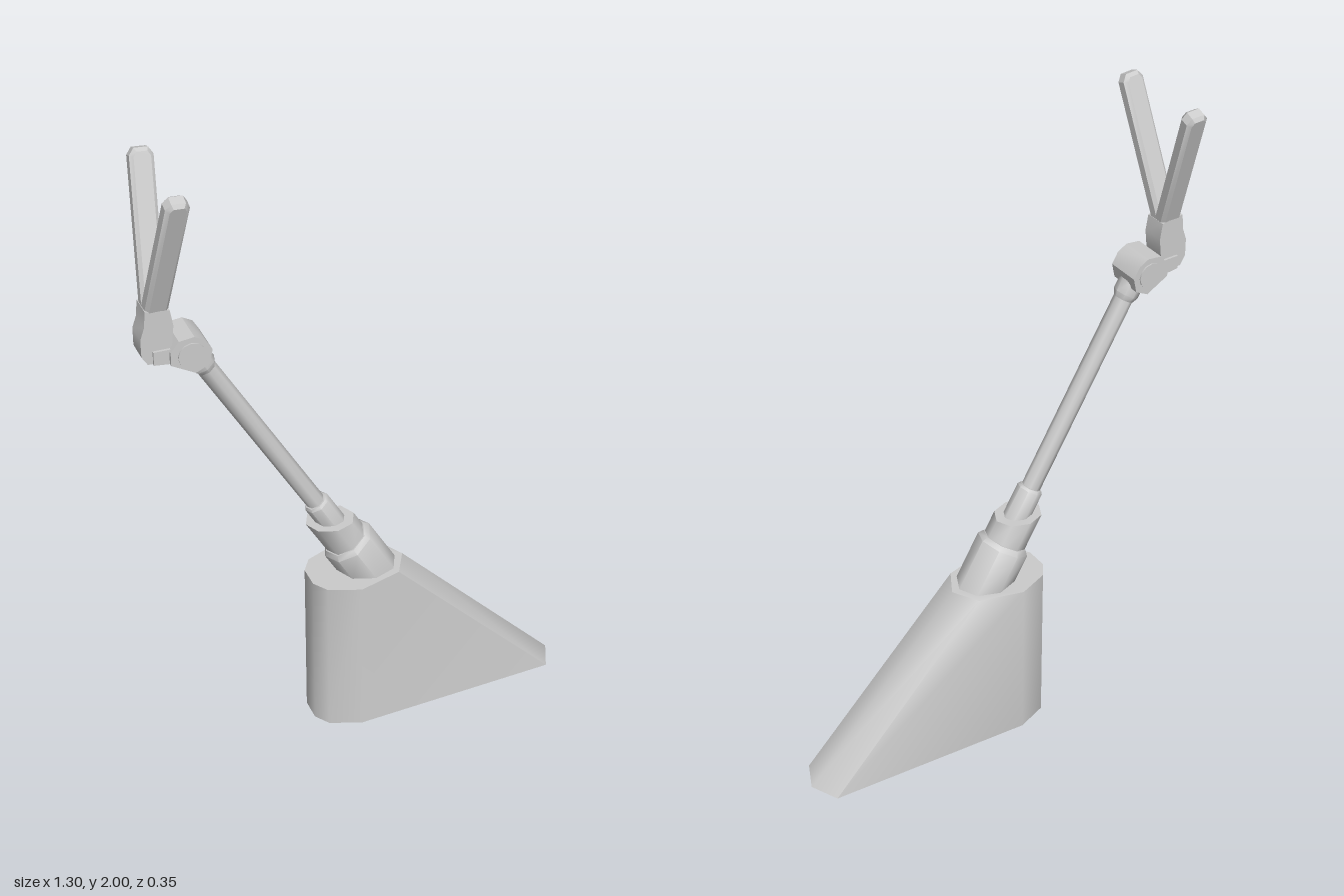
import * as THREE from 'three';
import { toCreasedNormals } from 'three/addons/utils/BufferGeometryUtils.js';

const grey = new THREE.MeshStandardMaterial({ color: 0xcccccc });
const open = new THREE.MeshStandardMaterial({ color: 0xcccccc, side: THREE.DoubleSide });

function add(group, name, geometry, material = grey) {
  const mesh = new THREE.Mesh(geometry, material);
  mesh.name = name;
  group.add(mesh);
  return mesh;
}

// Skin stacked rings of points (counter-clockwise seen from below), optionally capped.
function loft(rings, capBottom, capTop) {
  const n = rings[0].length, pos = [], index = [];
  rings.flat().forEach(p => pos.push(p.x, p.y, p.z));
  for (let r = 0; r < rings.length - 1; r++) {
    for (let i = 0; i < n; i++) {
      const a = r * n + i, b = r * n + (i + 1) % n;
      index.push(a, a + n, b, b, a + n, b + n);
    }
  }
  const top = (rings.length - 1) * n;
  for (let i = 1; i < n - 1; i++) {
    if (capBottom) index.push(0, i, i + 1);
    if (capTop) index.push(top, top + i + 1, top + i);
  }
  const g = new THREE.BufferGeometry();
  g.setAttribute('position', new THREE.Float32BufferAttribute(pos, 3));
  g.setIndex(index);
  return toCreasedNormals(g, 0.85);
}

// The arm leans 30 degrees; rings are either square to it or cut level.
const axis = new THREE.Vector3(-0.5, 0.866, 0);
const side = new THREE.Vector3(0.866, 0.5, 0);
function armRing(y, radius, level = false) {
  const centre = new THREE.Vector3(0.02 - (y - 0.53) * 0.577, y, 0);
  return Array.from({ length: 8 }, (_, i) => {
    const a = i / 8 * Math.PI * 2;
    const p = centre.clone().addScaledVector(side, Math.cos(a) * radius);
    p.z = Math.sin(a) * radius;
    if (level) p.addScaledVector(axis, (y - p.y) / axis.y);
    return p;
  });
}

// Plate cut from a side outline, centred on z = 0.
function plate(points, depth, bevel = 0) {
  const shape = new THREE.Shape(points.map(p => new THREE.Vector2(...p)));
  const g = new THREE.ExtrudeGeometry(shape, {
    depth: depth - 2 * bevel, bevelEnabled: bevel > 0, bevelSize: bevel,
    bevelThickness: bevel, bevelOffset: -bevel, bevelSegments: 1,
  });
  g.translate(0, 0, bevel - depth / 2);
  return toCreasedNormals(g, 0.6);
}

export function createModel() {
  const model = new THREE.Group();
  model.name = 'forkedStand';

  // Hollow wedge base: the front half of the outline stretches out towards the floor
  const half = [[-0.165, 0.035], [-0.135, 0.08], [-0.04, 0.117]];
  const outline = (x1, x2, z1, y) => {
    const h = [...half, [x1, z1]];
    return [[x2, 0], ...h.slice().reverse(), ...h.map(([x, z]) => [x, -z])]
      .map(([x, z]) => new THREE.Vector3(x, y, z));
  };
  add(model, 'base', loft([outline(0.61, 0.65, 0.087, 0), outline(0.095, 0.14, 0.08, 0.53)], false, true), open);

  // Stepped sleeves and slim shaft
  const arm = new THREE.Group();
  arm.name = 'arm';
  model.add(arm);
  add(arm, 'lowerSleeve', loft([armRing(0.525, 0.082, true), armRing(0.635, 0.082), armRing(0.648, 0.07)], true, true));
  add(arm, 'upperSleeve', loft([armRing(0.62, 0.066), armRing(0.73, 0.066, true)], true, true));
  add(arm, 'shaftCollar', loft([armRing(0.7, 0.04), armRing(0.803, 0.04), armRing(0.81, 0.034)], true, true));
  add(arm, 'shaft', loft([armRing(0.78, 0.029), armRing(1.4, 0.029)], true, true));
  add(arm, 'topCollar', loft([armRing(1.36, 0.03), armRing(1.375, 0.038), armRing(1.41, 0.038)], true, true));

  // Hinge knuckle, its tongue and pin
  const hinge = new THREE.Group();
  hinge.name = 'hinge';
  model.add(hinge);
  add(hinge, 'knuckle', plate([[-0.505, 1.385], [-0.465, 1.405], [-0.455, 1.45], [-0.475, 1.485],
    [-0.505, 1.502], [-0.55, 1.497], [-0.575, 1.465], [-0.575, 1.425]], 0.108));
  add(hinge, 'tongue', plate([[-0.62, 1.43], [-0.54, 1.42], [-0.54, 1.47], [-0.62, 1.472]], 0.085));
  const pin = add(hinge, 'pin', new THREE.CylinderGeometry(0.04, 0.04, 0.116, 12));
  pin.rotation.x = Math.PI / 2;
  pin.position.set(-0.515, 1.445, 0);

  // Fork head with two spread prongs
  const fork = new THREE.Group();
  fork.name = 'fork';
  model.add(fork);
  add(fork, 'forkBracket', plate([[-0.635, 1.432], [-0.59, 1.43], [-0.565, 1.468], [-0.557, 1.54],
    [-0.565, 1.59], [-0.635, 1.6], [-0.64, 1.55], [-0.652, 1.515], [-0.652, 1.46]], 0.07));
  for (const s of [1, -1]) {
    const prong = add(fork, s > 0 ? 'frontProng' : 'backProng', plate([[-0.034, 0], [0.034, 0],
      [0.034, 0.435], [0.02, 0.455], [-0.02, 0.455], [-0.034, 0.435]], 0.046, 0.01));
    const up = new THREE.Vector3(0.035, 0.42, s * 0.153).normalize();
    const out = new THREE.Vector3(1, 0, 0).cross(up).normalize();
    const across = up.clone().cross(out);
    prong.quaternion.setFromRotationMatrix(new THREE.Matrix4().makeBasis(across, up, out));
    prong.position.set(-0.602, 1.565, 0);
  }
  return model;
}
